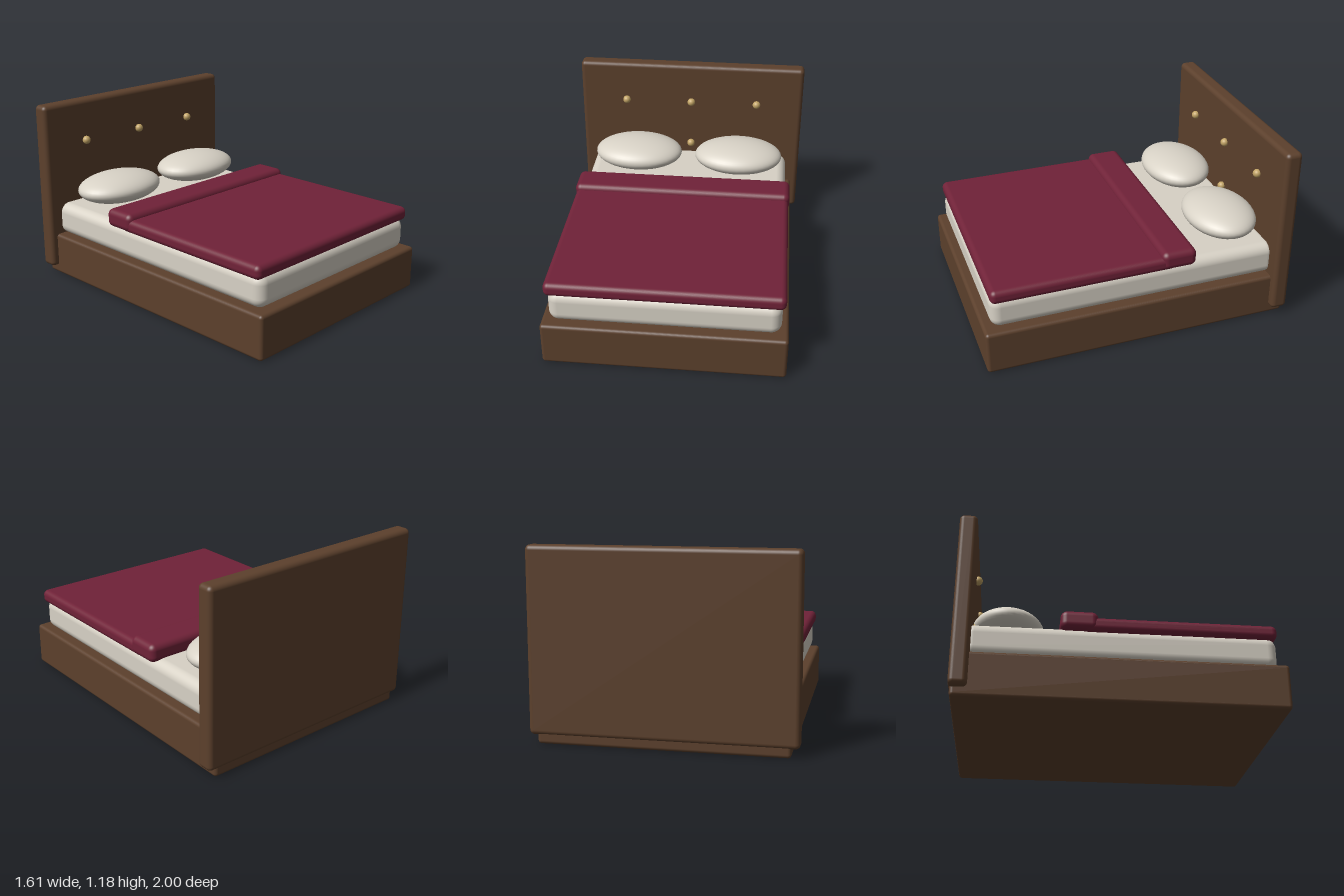
import * as THREE from 'three';
import { RoundedBoxGeometry } from 'three/addons/geometries/RoundedBoxGeometry.js';

export function createModel() {
  const bed = new THREE.Group();
  bed.name = 'bed';

  const wood = new THREE.MeshStandardMaterial({ color: 0x5c402c });
  const linen = new THREE.MeshStandardMaterial({ color: 0xd8d2c6 });
  const cover = new THREE.MeshStandardMaterial({ color: 0x702238 });
  const brass = new THREE.MeshStandardMaterial({ color: 0xc2a466 });

  const add = (name, geometry, material, x, y, z) => {
    const mesh = new THREE.Mesh(geometry, material);
    mesh.name = name;
    mesh.position.set(x, y, z);
    bed.add(mesh);
    return mesh;
  };

  // Rounded slab, symmetric in x, given by its y and z extents
  const slab = (name, material, width, y0, y1, z0, z1, radius) =>
    add(name, new RoundedBoxGeometry(width, y1 - y0, z1 - z0, 5, radius),
      material, 0, (y0 + y1) / 2, (z0 + z1) / 2);

  // Frame
  slab('base', wood, 1.51, 0, 0.285, -0.99, 1, 0.022);
  slab('headboard', wood, 1.61, 0.055, 1.185, -1, -0.89, 0.03);

  // Bedding
  slab('mattress', linen, 1.42, 0.28, 0.495, -0.94, 0.95, 0.065);
  slab('blanket', cover, 1.46, 0.47, 0.56, -0.23, 0.95, 0.035);
  slab('blanketFold', cover, 1.475, 0.475, 0.595, -0.367, -0.139, 0.04);

  // Pillows, one on each side
  for (const side of [-1, 1]) {
    const pillow = add(side > 0 ? 'leftPillow' : 'rightPillow',
      new THREE.SphereGeometry(1, 40, 28), linen, side * 0.362, 0.596, -0.68);
    pillow.scale.set(0.312, 0.1, 0.227);
  }

  // Two rows of buttons on the headboard
  const button = new THREE.SphereGeometry(0.028, 20, 14);
  for (const y of [0.905, 0.57]) {
    for (const x of [-0.475, 0, 0.475]) add('button', button, brass, x, y, -0.88);
  }

  return bed;
}
